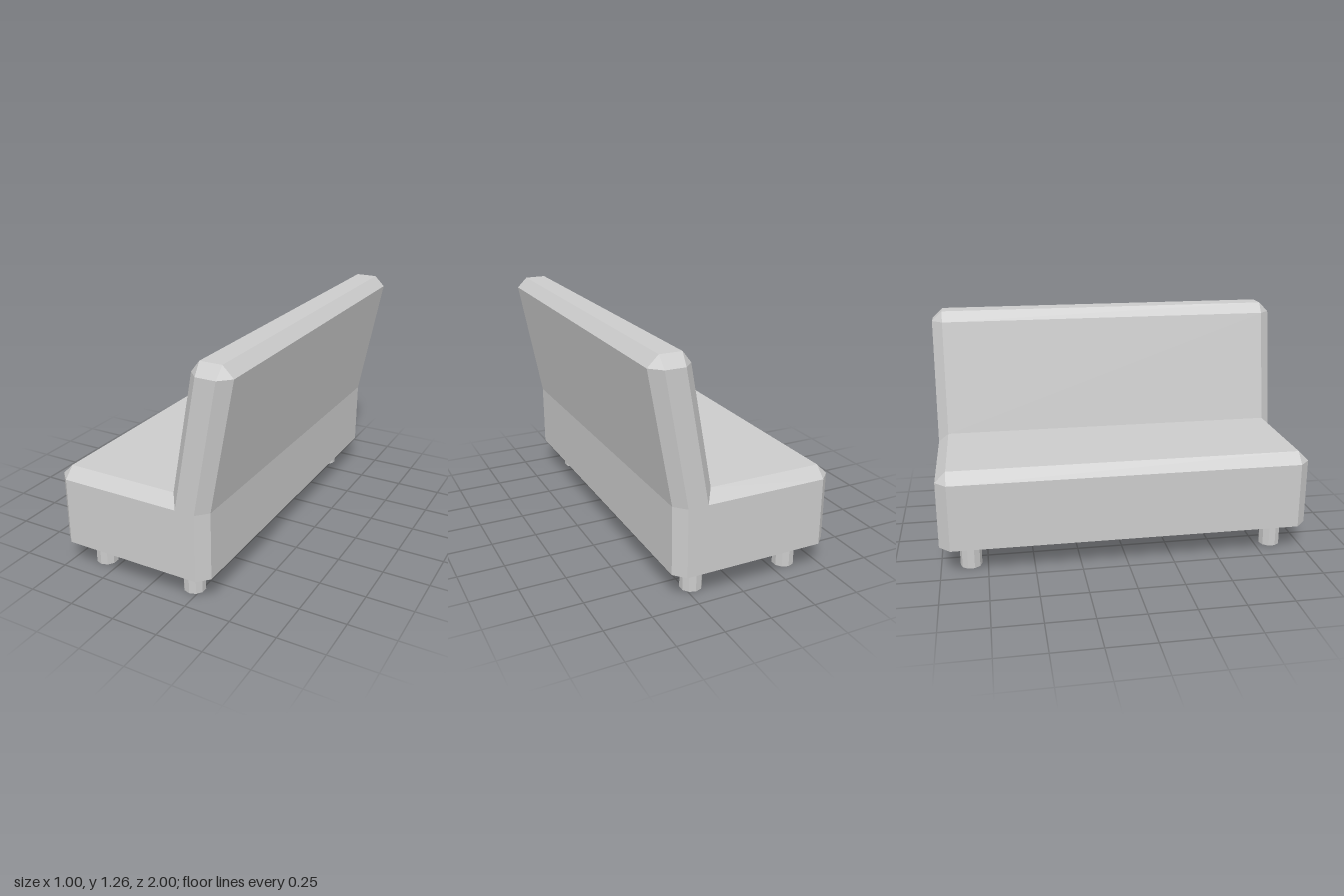
import * as THREE from 'three';

const END = 1, MID = 0.942;          // end face and start of the end chamfer
const BASE = 0.16, RECESS = 0.22;    // underside and recess ceiling heights

// Side profile, counter-clockwise: end-face corner, then its outer point(s)
const PROFILE = [
  { e: [0.315, BASE], o: [[0.37, BASE]] },
  { e: [0.315, 0.522], o: [[0.37, 0.522]] },
  { e: [0.44, 1.207], o: [[0.497, 1.207], [0.44, 1.263]] },
  { e: [0.335, 1.207], o: [[0.325, 1.263], [0.282, 1.207]] },
  { e: [0.21, 0.522], o: [[0.168, 0.58]] },
  { e: [-0.44, 0.522], o: [[-0.44, 0.58], [-0.5, 0.522]] },
  { e: [-0.44, BASE], o: [[-0.5, BASE]] },
];

// Collects flat polygons as unshared triangles
function faceBuilder() {
  const pos = [];
  return {
    face(pts, flip = false) {
      const p = flip ? [...pts].reverse() : pts;
      for (let i = 1; i < p.length - 1; i++) pos.push(...p[0], ...p[i], ...p[i + 1]);
    },
    geometry() {
      const g = new THREE.BufferGeometry();
      g.setAttribute('position', new THREE.Float32BufferAttribute(pos, 3));
      g.computeVertexNormals();
      return g;
    },
  };
}

function bodyGeometry() {
  const b = faceBuilder();
  // Long faces running from end to end (the bottom edge stays open for the rim)
  const outer = PROFILE.flatMap((p) => p.o);
  for (let i = 0; i < outer.length - 1; i++) {
    const p = outer[i], q = outer[i + 1];
    b.face([[...p, MID], [...p, -MID], [...q, -MID], [...q, MID]]);
  }
  // End caps with chamfers and corner facets
  const contour = PROFILE.map((p) => new THREE.Vector2(...p.e));
  const caps = THREE.ShapeUtils.triangulateShape(contour, []);
  for (const s of [1, -1]) {
    const flip = s < 0;
    for (const t of caps) b.face(t.map((i) => [...PROFILE[i].e, s * END]), flip);
    PROFILE.forEach(({ e, o }, i) => {
      if (o.length > 1) b.face([[...e, s * END], [...o[0], s * MID], [...o[1], s * MID]], flip);
      if (i === PROFILE.length - 1) return;
      const next = PROFILE[i + 1];
      b.face([[...e, s * END], [...o.at(-1), s * MID], [...next.o[0], s * MID], [...next.e, s * END]], flip);
    });
  }
  return b.geometry();
}

// Recess opening as [x, z] corners
const OPENING = [[-0.41, -0.91], [0.28, -0.91], [0.28, 0.91], [-0.41, 0.91]];

// Flat rim around the underside opening
function rimGeometry() {
  const v = (list) => list.map(([x, z]) => new THREE.Vector2(x, z));
  const shape = new THREE.Shape(v([
    [-0.44, -END], [0.315, -END], [0.37, -MID], [0.37, MID],
    [0.315, END], [-0.44, END], [-0.5, MID], [-0.5, -MID],
  ]));
  shape.holes.push(new THREE.Path(v(OPENING)));
  return new THREE.ShapeGeometry(shape).rotateX(Math.PI / 2).translate(0, BASE, 0);
}

// Inward-facing walls and the ceiling of the recess
function recessGeometry() {
  const b = faceBuilder();
  OPENING.forEach(([x, z], i) => {
    const [u, w] = OPENING[(i + 1) % 4];
    b.face([[x, BASE, z], [u, BASE, w], [u, RECESS, w], [x, RECESS, z]]);
  });
  b.face(OPENING.map(([x, z]) => [x, RECESS, z]));
  return b.geometry();
}

export function createModel() {
  const group = new THREE.Group();
  group.name = 'bench';
  const material = new THREE.MeshStandardMaterial({ color: 0xcccccc, flatShading: true });
  const add = (name, geometry) => {
    const mesh = new THREE.Mesh(geometry, material);
    mesh.name = name;
    group.add(mesh);
    return mesh;
  };

  add('seatAndBackrest', bodyGeometry());
  add('undersideRim', rimGeometry());
  add('undersideRecess', recessGeometry());

  // Four short legs reaching up into the recess
  const leg = new THREE.CylinderGeometry(0.058, 0.058, RECESS, 10);
  for (const [name, x] of [['frontLeg', -0.338], ['rearLeg', 0.211]]) {
    for (const z of [0.84, -0.84]) add(name, leg).position.set(x, RECESS / 2, z);
  }
  return group;
}
